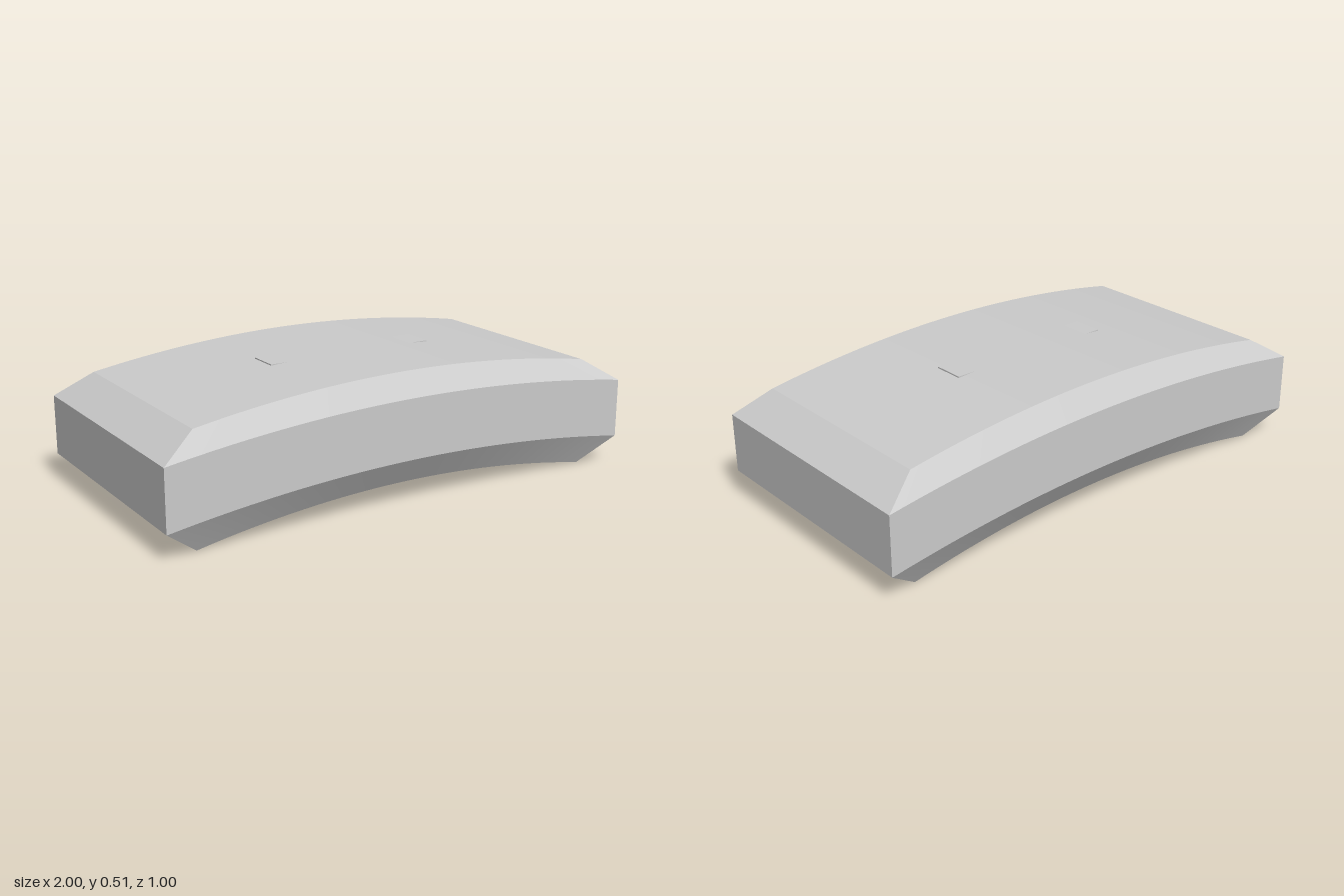
import * as THREE from 'three';

const STEPS = 32;

// Corner rails of the slab: half length, height at the middle, sag at the ends, depth
const RAILS = [
  { x: 0.86, y: 0.51, sag: 0.075, z: 0.43 },   // top edge
  { x: 1, y: 0.425, sag: 0.08, z: 0.5 },       // upper side edge
  { x: 1, y: 0.19, sag: 0.08, z: 0.5 },        // lower side edge
  { x: 0.86, y: 0.083, sag: 0.083, z: 0.43 },  // bottom edge
];
const LOOP = [...RAILS, ...RAILS.slice().reverse().map((r) => ({ ...r, z: -r.z }))];

// Point on rail k, with t running from -1 (right end) to 1 (left end)
function railPoint(k, t) {
  const r = LOOP[k % 8];
  return [r.x * t, r.y - r.sag * t * t, r.z];
}

function bentSlab() {
  const positions = [];
  const indices = [];

  // Long faces, smooth along the bend and sharp between faces
  for (let k = 0; k < 8; k++) {
    const base = positions.length / 3;
    for (let i = 0; i <= STEPS; i++) {
      const t = (2 * i) / STEPS - 1;
      positions.push(...railPoint(k, t), ...railPoint(k + 1, t));
    }
    for (let i = 0; i < STEPS; i++) {
      const a = base + 2 * i;
      indices.push(a, a + 1, a + 3, a, a + 3, a + 2);
    }
  }

  // Flat end with a bevel above and below, at both ends
  for (const t of [1, -1]) {
    for (let k = 0; k < 3; k++) {
      const a = positions.length / 3;
      for (const c of [k, k + 1, 6 - k, 7 - k]) positions.push(...railPoint(c, t));
      if (t > 0) indices.push(a, a + 1, a + 2, a, a + 2, a + 3);
      else indices.push(a, a + 2, a + 1, a, a + 3, a + 2);
    }
  }

  const geometry = new THREE.BufferGeometry();
  geometry.setAttribute('position', new THREE.Float32BufferAttribute(positions, 3));
  geometry.setIndex(indices);
  geometry.computeVertexNormals();
  return geometry;
}

export function createModel() {
  const model = new THREE.Group();
  model.name = 'curvedPlate';
  const material = new THREE.MeshStandardMaterial({ color: 0xcccccc });

  const slab = new THREE.Mesh(bentSlab(), material);
  slab.name = 'bentSlab';
  model.add(slab);

  // Flat bar sunk into the crown, so only its two ends show
  const bar = new THREE.Mesh(new THREE.BoxGeometry(0.715, 0.06, 0.124), material);
  bar.name = 'sunkenBar';
  bar.position.set(0.005, 0.472, 0);
  model.add(bar);

  return model;
}
